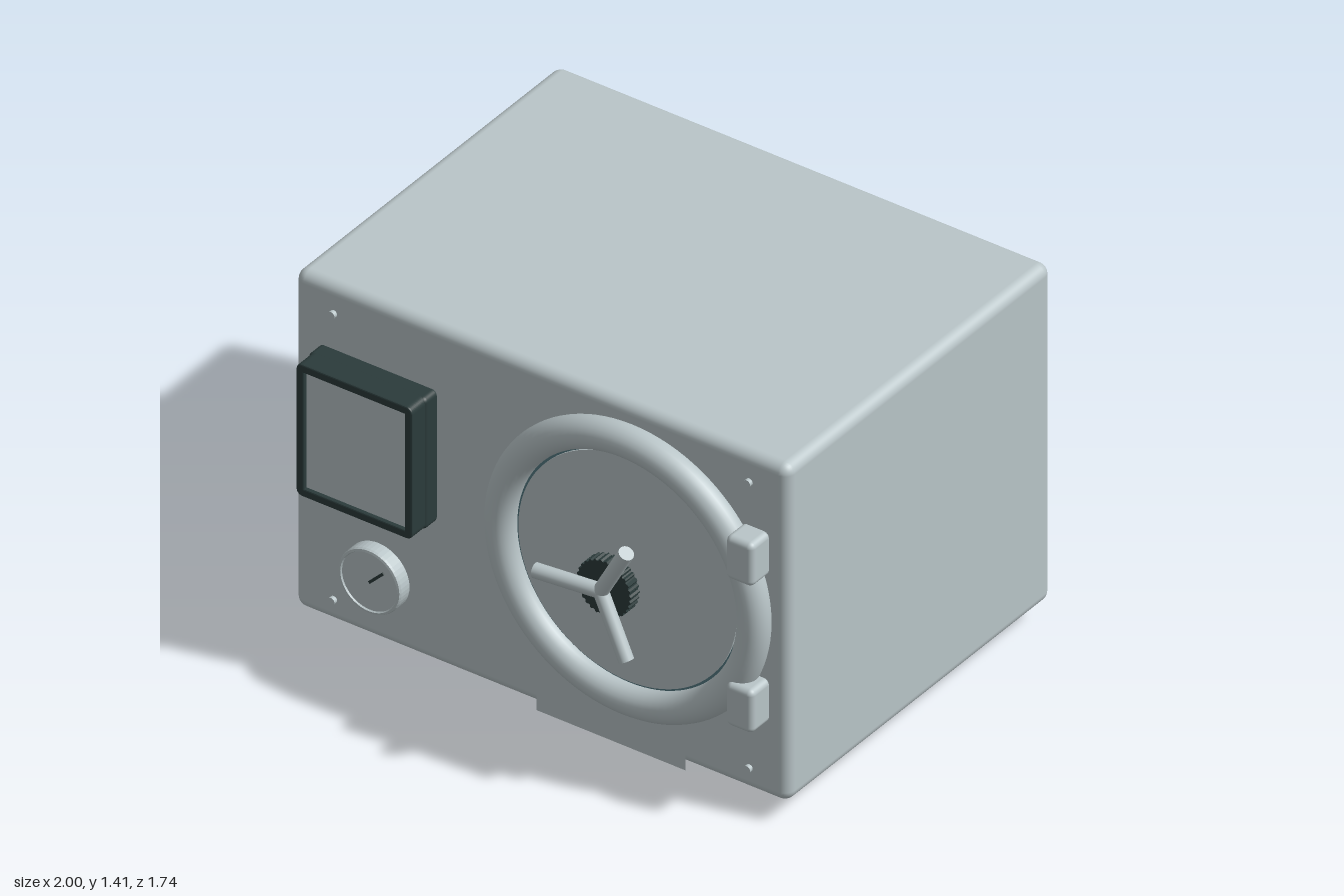
import * as THREE from 'three';
import { RoundedBoxGeometry } from 'three/addons/geometries/RoundedBoxGeometry.js';

const material = (name, color, side = THREE.FrontSide) => {
  const m = new THREE.MeshStandardMaterial({ color, side });
  m.name = name;
  return m;
};

export function createModel() {
  const model = new THREE.Group();
  model.name = 'chamberCabinet';
  const shell = material('pale grey enamel', 0xb9c5c8, THREE.DoubleSide);
  const teal = material('muted teal', 0x567c85);
  const dark = material('dark green grey', 0x2b3b3b);

  const add = (name, geometry, mat, x = 0, y = 0, z = 0, parent = model) => {
    const mesh = new THREE.Mesh(geometry, mat);
    mesh.name = name;
    mesh.position.set(x, y, z);
    parent.add(mesh);
    return mesh;
  };
  // Rounded box given by its limits
  const block = (name, mat, [x0, x1], [y0, y1], [z0, z1], r) =>
    add(name, new RoundedBoxGeometry(x1 - x0, y1 - y0, z1 - z0, 4, r), mat,
      (x0 + x1) / 2, (y0 + y1) / 2, (z0 + z1) / 2);
  // Disc or drum whose axis points along z
  const drum = (name, mat, r, x, y, z0, z1, segments = 48) =>
    add(name, new THREE.CylinderGeometry(r, r, z1 - z0, segments).rotateX(Math.PI / 2), mat,
      x, y, (z0 + z1) / 2);

  // Cabinet, back panel and feet
  block('cabinet', shell, [-0.99, 0.995], [0.08, 1.41], [-0.845, 0.635], 0.04);
  block('backPanel', teal, [-0.86, 0.865], [0.15, 1.19], [-0.87, -0.83], 0.008);
  for (const x of [-0.775, 0.775]) {
    for (const z of [-0.655, 0.445]) {
      add('foot', new THREE.CylinderGeometry(0.065, 0.065, 0.1, 32), dark, x, 0.05, z);
    }
  }

  // Side vents: slim bars with round ends
  for (let i = 0; i < 7; i++) {
    const bar = add('ventBar', new THREE.CapsuleGeometry(0.01, 0.64, 4, 10), dark,
      -0.99, 0.575 + i * 0.0595, -0.18);
    bar.rotation.x = Math.PI / 2;
  }

  // Corner bolts
  for (const x of [-0.83, 0.84]) {
    for (const y of [0.17, 1.3]) drum('bolt', shell, 0.014, x, y, 0.62, 0.65, 16);
  }

  // Display housing with a raised rim around the inset panel
  block('displayHousing', dark, [-0.888, -0.415], [0.64, 1.16], [0.62, 0.705], 0.02);
  const rimShape = new THREE.Shape();
  const w = 0.228, h = 0.255, c = 0.022;
  rimShape.moveTo(-w + c, -h);
  rimShape.lineTo(w - c, -h);
  rimShape.quadraticCurveTo(w, -h, w, -h + c);
  rimShape.lineTo(w, h - c);
  rimShape.quadraticCurveTo(w, h, w - c, h);
  rimShape.lineTo(-w + c, h);
  rimShape.quadraticCurveTo(-w, h, -w, h - c);
  rimShape.lineTo(-w, -h + c);
  rimShape.quadraticCurveTo(-w, -h, -w + c, -h);
  const opening = new THREE.Path();
  opening.moveTo(-0.207, -0.234);
  opening.lineTo(-0.207, 0.234);
  opening.lineTo(0.207, 0.234);
  opening.lineTo(0.207, -0.234);
  opening.closePath();
  rimShape.holes.push(opening);
  add('displayRim', new THREE.ExtrudeGeometry(rimShape, {
    depth: 0.075, bevelEnabled: true, bevelThickness: 0.005, bevelSize: 0.005, bevelSegments: 2,
  }), dark, -0.6515, 0.9, 0.69);
  add('displayPanel', new THREE.BoxGeometry(0.42, 0.474, 0.06), shell, -0.6515, 0.9, 0.725);

  // Pressure gauge
  const gaugeProfile = [[0.125, 0], [0.125, 0.05], [0.122, 0.058], [0.114, 0.06], [0.111, 0.054], [0, 0.054]]
    .map(([r, y]) => new THREE.Vector2(r, y));
  add('gauge', new THREE.LatheGeometry(gaugeProfile, 48).toNonIndexed().rotateX(Math.PI / 2), shell,
    -0.65, 0.34, 0.63).geometry.computeVertexNormals();
  const needle = add('gaugeNeedle', new THREE.BoxGeometry(0.08, 0.01, 0.006), dark, -0.62, 0.368, 0.688);
  needle.rotation.z = Math.PI / 4;

  // Round door: tubular ring, teal seal and flat disc
  const dx = 0.37, dy = 0.78;
  add('doorRing', new THREE.TorusGeometry(0.507, 0.058, 24, 96), shell, dx, dy, 0.658);
  drum('doorSeal', teal, 0.455, dx, dy, 0.62, 0.652, 80);
  drum('doorDisc', shell, 0.44, dx, dy, 0.63, 0.66, 80);

  // Hinges and drip plate
  for (const y of [0.38, 0.96]) {
    block('hinge', shell, [0.81, 0.92], [y, y + 0.17], [0.62, 0.732], 0.022);
  }
  add('dripPlate', new THREE.PlaneGeometry(0.6, 0.2), shell, 0.295, 0.17, 0.65);

  // Knurled hub
  const hubShape = new THREE.Shape();
  const teeth = 30;
  for (let i = 0; i < teeth * 4; i++) {
    const a = (i / (teeth * 4)) * Math.PI * 2;
    const r = i % 4 < 2 ? 0.109 : 0.103;
    hubShape[i ? 'lineTo' : 'moveTo'](r * Math.cos(a), r * Math.sin(a));
  }
  add('handleHub', new THREE.ExtrudeGeometry(hubShape, { depth: 0.05, bevelEnabled: false }), dark, dx, dy, 0.745);

  // Three spokes leaning slightly forward
  const spokes = new THREE.Group();
  spokes.name = 'handleSpokes';
  spokes.position.set(dx, dy, 0);
  model.add(spokes);
  for (const angle of [Math.PI, Math.PI / 3, -Math.PI / 3]) {
    const path = new THREE.LineCurve3(
      new THREE.Vector3(0, 0, 0.812),
      new THREE.Vector3(0.245 * Math.cos(angle), 0.245 * Math.sin(angle), 0.839));
    const direction = path.v2.clone().sub(path.v1);
    const spoke = add('handleSpoke', new THREE.CylinderGeometry(0.027, 0.027, direction.length(), 24), shell,
      0, 0, 0, spokes);
    spoke.position.copy(path.getPoint(0.5));
    spoke.quaternion.setFromUnitVectors(new THREE.Vector3(0, 1, 0), direction.normalize());
  }
  return model;
}
